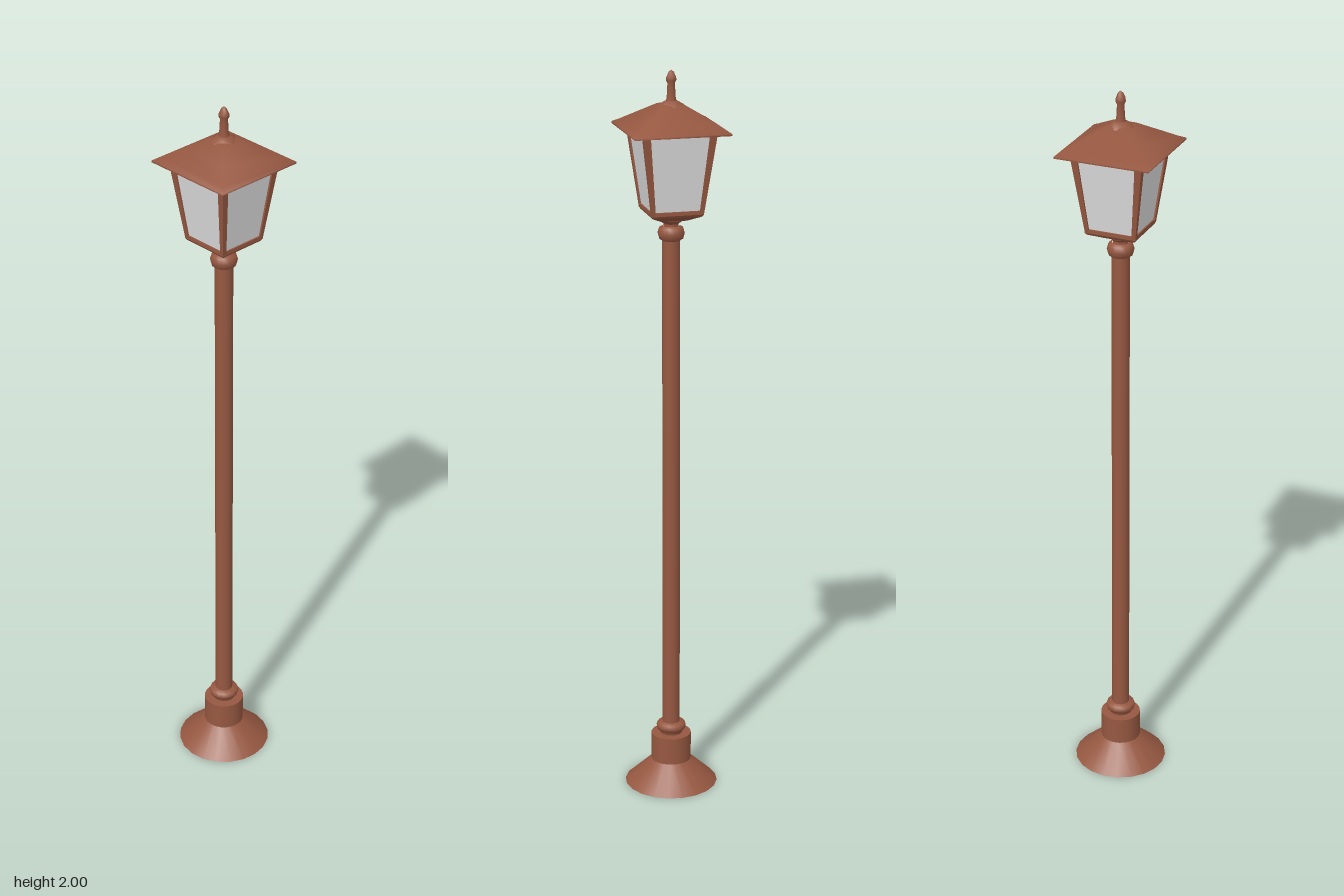
import * as THREE from 'three';

const copper = new THREE.MeshStandardMaterial({ color: 0x965841 });
copper.name = 'copper brown';
const glass = new THREE.MeshStandardMaterial({ color: 0xdedede });
glass.name = 'frosted glass';

// Lantern body: half widths and heights of its taper
const LOW = 1.635, HIGH = 1.848, HALF_LOW = 0.07, HALF_HIGH = 0.098;
const halfAt = (y) => HALF_LOW + ((HALF_HIGH - HALF_LOW) * (y - LOW)) / (HIGH - LOW);

function add(parent, name, geometry, material) {
  const mesh = new THREE.Mesh(geometry, material);
  mesh.name = name;
  parent.add(mesh);
  return mesh;
}

// Turned part; doubled profile points keep its edges sharp
function turned(profile, sides, sharp = true) {
  const points = profile.flatMap(([r, y]) => {
    const p = new THREE.Vector2(r, y);
    return sharp ? [p, p.clone()] : [p];
  });
  return new THREE.LatheGeometry(points, sides);
}

// Four-sided part with a profile of half widths and heights
function square(profile, sharp) {
  const wide = profile.map(([h, y]) => [h * Math.SQRT2, y]);
  let g = turned(wide, 4, sharp).rotateY(Math.PI / 4);
  if (sharp) {
    g = g.toNonIndexed();
    g.computeVertexNormals();
  }
  return g;
}

// Box whose corners are placed by a rule on its -1..1 coordinates
function shapedBox(rule) {
  const g = new THREE.BoxGeometry(2, 2, 2).toNonIndexed();
  const p = g.attributes.position;
  for (let i = 0; i < p.count; i++) p.setXYZ(i, ...rule(p.getX(i), p.getY(i), p.getZ(i)));
  g.computeVertexNormals();
  return g;
}

export function createModel() {
  const model = new THREE.Group();
  model.name = 'streetLamp';

  // Flared foot, pole and collars
  add(model, 'foot', turned([[0, 0], [0.128, 0], [0.055, 0.068], [0.055, 0.145], [0, 0.145]], 20), copper);
  add(model, 'pole', turned([[0.024, 0.14], [0.024, 1.57]], 16), copper);
  add(model, 'lowerCollar', turned([[0.03, 0.143], [0.031, 0.154], [0.039, 0.158], [0.041, 0.166],
    [0.038, 0.175], [0.024, 0.179]], 16, false), copper);
  add(model, 'upperCollar', turned([[0.024, 1.553], [0.032, 1.558], [0.036, 1.573],
    [0.032, 1.587], [0.022, 1.592]], 16, false), copper);
  add(model, 'neck', turned([[0.02, 1.585], [0.02, 1.598], [0.034, 1.608], [0.034, 1.618]], 16), copper);

  // Lantern floor
  add(model, 'lanternFloor', square([[0, 1.61], [0.034, 1.61], [0.066, 1.626], [HALF_LOW, 1.632],
    [HALF_LOW, 1.642], [0, 1.642]], true), copper);

  // Leaning corner posts
  const lantern = new THREE.Group();
  lantern.name = 'lantern';
  model.add(lantern);
  const post = shapedBox((x, y, z) => {
    const h = y > 0 ? HIGH : LOW;
    const w = y > 0 ? 0.019 : 0.011;
    const c = halfAt(h) - w / 2;
    return [c + (x * w) / 2, h, c + (z * w) / 2];
  });
  const rail = shapedBox((x, y, z) => {
    const h = y > 0 ? HIGH : HIGH - 0.008;
    const o = halfAt(h) - 0.002;
    return [x * (o - 0.01), h, z > 0 ? o : o - 0.012];
  });
  // Glass panes set just behind the frame
  const pane = shapedBox((x, y, z) => {
    const h = y > 0 ? HIGH : LOW;
    const o = halfAt(h) - 0.005;
    return [x * (o - 0.004), h, z > 0 ? o : o - 0.004];
  });
  for (let i = 0; i < 4; i++) {
    const side = new THREE.Group();
    side.name = 'lanternSide';
    side.rotation.y = (i * Math.PI) / 2;
    add(side, 'cornerPost', post, copper);
    add(side, 'topRail', rail, copper);
    add(side, 'pane', pane, glass);
    lantern.add(side);
  }

  // Softly shaded square roof
  add(model, 'roofUnderside', square([[0, 1.845], [0.128, 1.845]], true), copper);
  add(model, 'roof', square([[0.128, 1.845], [0.128, 1.85], [0.113, 1.858], [0.07, 1.885],
    [0.03, 1.91], [0, 1.918]], false), copper);

  // Eight-sided cap and finial
  add(model, 'roofCap', turned([[0.038, 1.896], [0.036, 1.908], [0.016, 1.92], [0, 1.923]], 8, false), copper);
  add(model, 'finial', turned([[0.015, 1.915], [0.012, 1.93], [0.01, 1.965], [0.014, 1.973],
    [0.013, 1.981], [0.007, 1.994], [0, 2]], 8, false), copper);
  return model;
}
